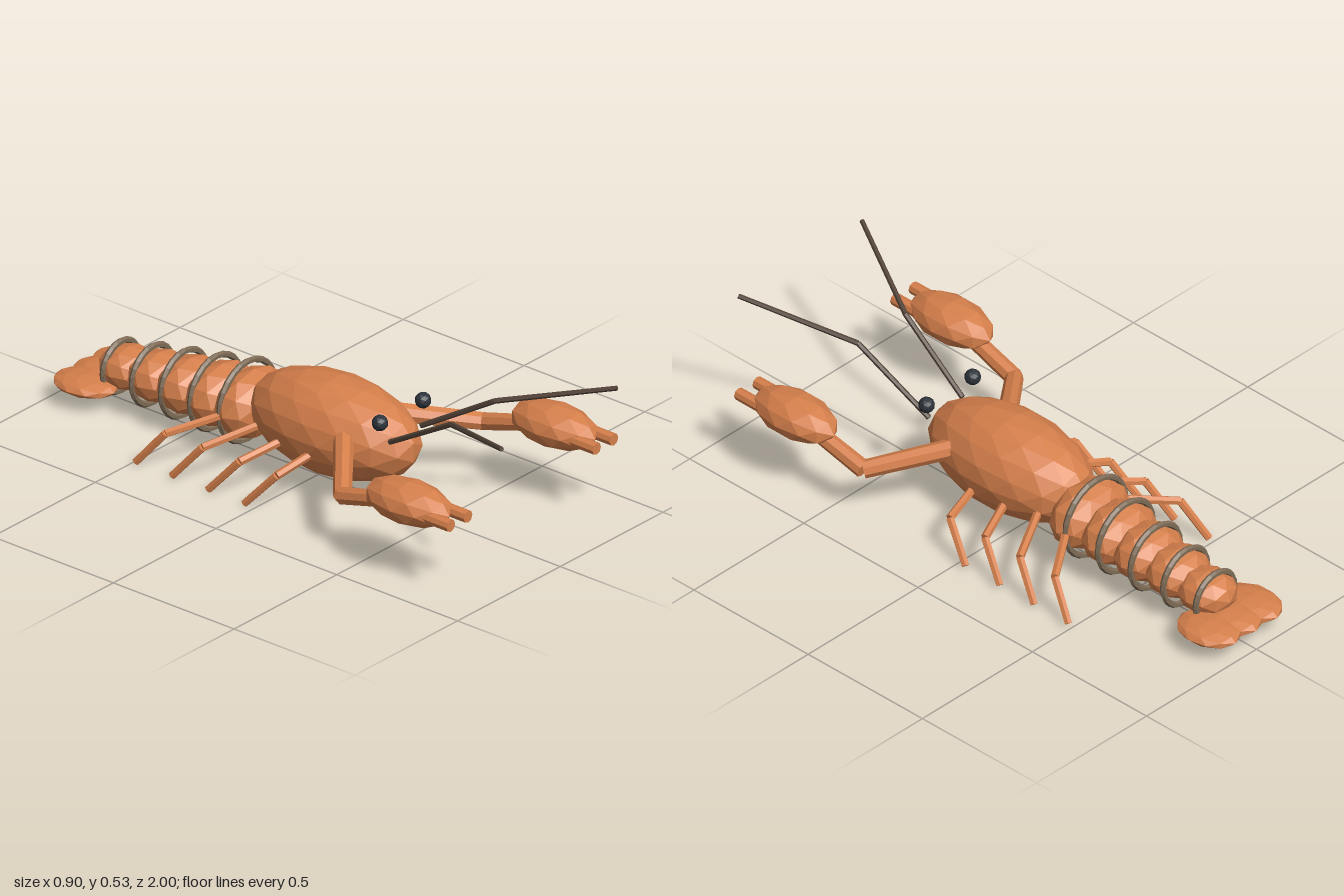
import * as THREE from 'three';

const paint = (color) => new THREE.MeshStandardMaterial({ color, flatShading: true });

export function createModel() {
  const model = new THREE.Group();
  const shell = paint(0xd57f4b), band = paint(0x7d6a55), feeler = paint(0x55453a), dark = paint(0x2b3238);

  // Faceted ellipsoid
  function blob(name, pos, radii, detail = 1, material = shell, parent = model) {
    const mesh = new THREE.Mesh(new THREE.IcosahedronGeometry(1, detail), material);
    mesh.name = name;
    mesh.position.set(...pos);
    mesh.scale.set(...radii);
    parent.add(mesh);
    return mesh;
  }

  // Cylinder between two points
  function rod(name, from, to, r0, r1, material = shell, parent = model, sides = 8) {
    const a = new THREE.Vector3(...from), b = new THREE.Vector3(...to);
    const dir = b.clone().sub(a);
    const mesh = new THREE.Mesh(new THREE.CylinderGeometry(r1, r0, dir.length(), sides), material);
    mesh.name = name;
    mesh.position.copy(a).add(b).multiplyScalar(0.5);
    mesh.quaternion.setFromUnitVectors(new THREE.Vector3(0, 1, 0), dir.normalize());
    parent.add(mesh);
    return mesh;
  }

  // Carapace
  blob('body', [0, 0.204, 0.07], [0.174, 0.165, 0.33], 2);

  // Shrinking tail segments, each followed by a ring
  for (let i = 0; i < 5; i++) {
    const r = 0.153 - 0.0143 * i;
    blob('tailSegment', [0, 0.17 - 0.011 * i, -0.27 - 0.129 * i], [r, r * 0.75, 0.1]);
    const ring = new THREE.Mesh(new THREE.TorusGeometry(0.136 - 0.0123 * i, 0.011, 6, 24), band);
    ring.name = 'tailRing';
    ring.position.set(0, 0.168 - 0.0125 * i, -0.295 - 0.131 * i);
    model.add(ring);
  }

  // Tail fan lobes
  for (const x of [-0.095, 0, 0.095]) blob('tailFan', [x, 0.074, -0.883], [0.09, 0.03, 0.117]);

  for (const s of [1, -1]) {
    const side = new THREE.Group();
    side.name = s > 0 ? 'leftLimbs' : 'rightLimbs';
    model.add(side);

    // Eye and antenna
    blob('eye', [0.105 * s, 0.335, 0.343], [0.027, 0.027, 0.027], 1, dark, side);
    const bend = [0.108 * s, 0.428, 0.64];
    rod('antennaBase', [0.076 * s, 0.262, 0.36], bend, 0.009, 0.009, feeler, side, 6);
    rod('antennaTip', bend, [0.281 * s, 0.523, 0.997], 0.009, 0.008, feeler, side, 6);

    // Claw arm
    const elbow = [0.343 * s, 0.185, 0.39];
    rod('upperArm', [0.125 * s, 0.243, 0.21], elbow, 0.033, 0.03, shell, side);
    rod('forearm', elbow, [0.352 * s, 0.235, 0.57], 0.03, 0.028, shell, side);
    blob('claw', [0.355 * s, 0.262, 0.675], [0.093, 0.07, 0.168], 1, shell, side);
    for (const d of [-0.042, 0.042])
      rod('clawFinger', [(0.355 + d) * s, 0.26, 0.7], [(0.355 + d) * s, 0.26, 0.885], 0.022, 0.021, shell, side);

    // Four walking legs
    for (let i = 0; i < 4; i++) {
      const knee = [0.285 * s, 0.127, 0.067 - 0.153 * i];
      rod('legUpper', [0.12 * s, 0.167, 0.1 - 0.128 * i], knee, 0.014, 0.014, shell, side, 6);
      rod('legLower', knee, [0.32 * s, 0.01, -0.035 - 0.15 * i], 0.014, 0.013, shell, side, 6);
    }
  }
  return model;
}
